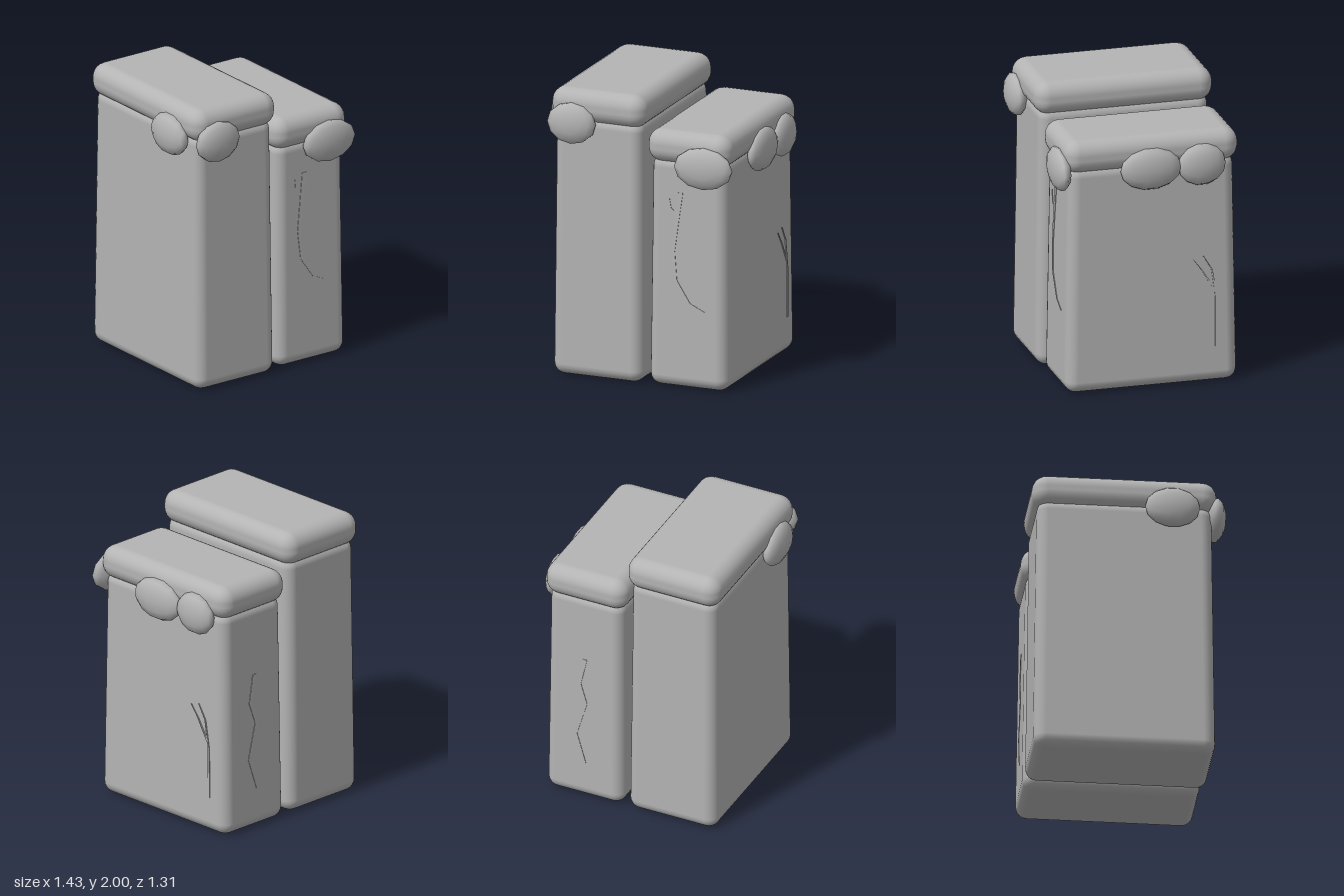
import * as THREE from 'three';
import { RoundedBoxGeometry } from 'three/addons/geometries/RoundedBoxGeometry.js';

const stone = new THREE.MeshStandardMaterial({ color: 0xb4b4b4 });
stone.name = 'grey stone';

function add(parent, name, geometry, x, y, z) {
  const mesh = new THREE.Mesh(geometry, stone);
  mesh.name = name;
  mesh.position.set(x, y, z);
  parent.add(mesh);
  return mesh;
}

// Rounded block, slightly narrower at the top
function taperedBlock(w, h, d, inset) {
  const g = new RoundedBoxGeometry(w, h, d, 3, 0.08);
  const p = g.attributes.position;
  for (let i = 0; i < p.count; i++) {
    const t = p.getY(i) / h + 0.5;
    p.setX(i, p.getX(i) * (1 - inset * t / w));
    p.setZ(i, p.getZ(i) * (1 - 2 * inset * t / d));
  }
  return g;
}

// Body with an overhanging cap
function pillar(name, x, z, w, d, h) {
  const g = new THREE.Group();
  g.name = name;
  add(g, 'body', taperedBlock(w, h - 0.18, d, 0.025), x, (h - 0.18) / 2, z);
  add(g, 'cap', new RoundedBoxGeometry(w + 0.035, 0.23, d + 0.015, 3, 0.1), x, h - 0.115, z);
  return g;
}

// Flattened coarse pebble
function pebble(parent, name, x, y, z, rx, ry, rz) {
  const g = new THREE.SphereGeometry(1, 12, 7).rotateX(Math.PI / 2).scale(rx, ry, rz);
  add(parent, name, g, x, y, z);
}

// Thin crack relief, tapering to a point along a path of [u, y]
function crack(parent, name, path, width) {
  const n = path.length;
  const side = (s) => path.map(([u, y], i) => new THREE.Vector2(u + s * width * (1 - 0.8 * i / (n - 1)) / 2, y));
  const shape = new THREE.Shape([...side(-1), ...side(1).reverse()]);
  return add(parent, name, new THREE.ExtrudeGeometry(shape, { depth: 0.006, bevelEnabled: false }), 0, 0, 0);
}

export function createModel() {
  const model = new THREE.Group();
  model.name = 'twin pillars';

  const tall = pillar('tallPillar', -0.303, -0.037, 0.655, 1.225, 2);
  const short = pillar('shortPillar', 0.345, -0.053, 0.575, 1.195, 1.78);
  model.add(tall, short);

  // Pebbles under the cap edges
  pebble(tall, 'frontPebble', -0.475, 1.775, 0.585, 0.175, 0.145, 0.07);
  pebble(tall, 'sidePebble', -0.65, 1.775, 0.28, 0.07, 0.145, 0.185);
  pebble(short, 'frontPebble', 0.47, 1.557, 0.555, 0.212, 0.147, 0.065);
  pebble(short, 'sidePebbleFront', 0.65, 1.557, -0.035, 0.067, 0.147, 0.212);
  pebble(short, 'sidePebbleBack', 0.65, 1.557, -0.39, 0.067, 0.147, 0.165);

  // Cracks, leaning with the sloping faces
  const cracks = [
    ['front', [[0.29, 1.36], [0.27, 1.2], [0.24, 0.95], [0.26, 0.75], [0.36, 0.6], [0.47, 0.55]], 0.04],
    ['front', [[0.27, 1.2], [0.22, 1.25], [0.21, 1.32]], 0.02],
    ['side', [[0.5, 0.25], [0.5, 0.6], [0.47, 0.8], [0.41, 0.9]], 0.02],
    ['side', [[0.49, 0.65], [0.4, 0.8], [0.34, 0.88]], 0.015],
    ['back', [[-0.34, 1.1], [-0.38, 0.9], [-0.33, 0.75], [-0.4, 0.5], [-0.33, 0.28]], 0.03],
  ];
  for (const [face, path, width] of cracks) {
    const m = crack(short, face + 'Crack', path, width);
    if (face === 'front') {
      m.position.z = 0.542;
      m.rotation.x = -0.0156;
    } else if (face === 'back') {
      m.position.z = -0.648;
      m.rotation.set(0.0156, Math.PI, 0);
    } else {
      m.position.x = 0.63;
      m.rotation.set(0, Math.PI / 2, 0.0078);
    }
  }
  return model;
}
